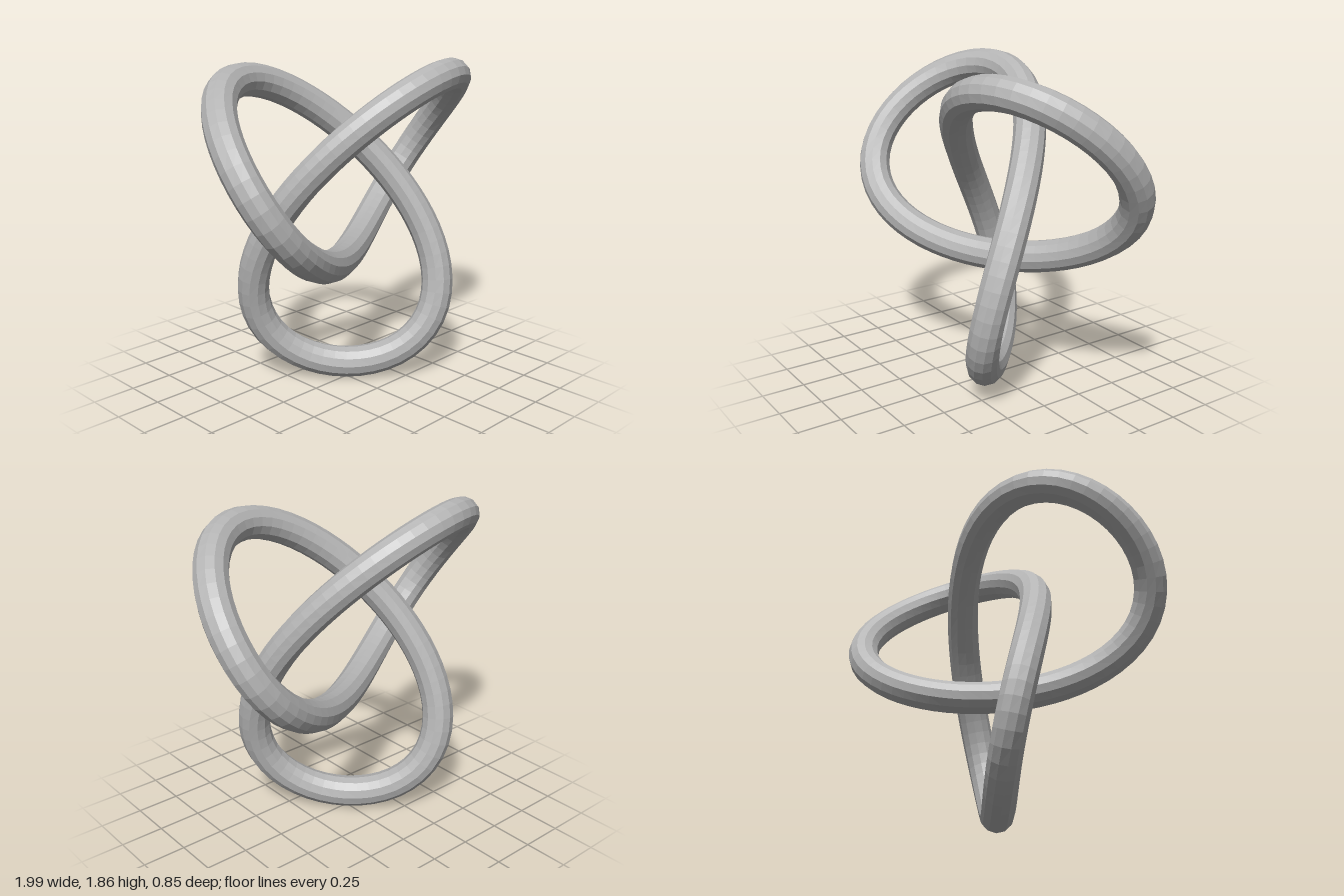
import * as THREE from 'three';

const SCALE = 0.332;   // size of the knot's centre line
const RADIUS = 0.0915; // thickness of the tube

// Trefoil centre line, standing upright with one lobe pointing down
class TrefoilCurve extends THREE.Curve {
  getPoint(u, target = new THREE.Vector3()) {
    const t = u * Math.PI * 2;
    return target.set(
      Math.sin(t) + 2 * Math.sin(2 * t),
      Math.cos(t) - 2 * Math.cos(2 * t),
      -Math.sin(3 * t)
    ).multiplyScalar(SCALE);
  }
}

export function createModel() {
  const group = new THREE.Group();
  group.name = 'trefoilKnot';

  const grey = new THREE.MeshStandardMaterial({ color: 0xb4b4b4, flatShading: true });
  grey.name = 'grey';

  // Closed faceted tube
  const tube = new THREE.Mesh(
    new THREE.TubeGeometry(new TrefoilCurve(), 128, RADIUS, 12, true),
    grey
  );
  tube.name = 'knotTube';
  tube.position.y = 3 * SCALE + RADIUS; // lowest lobe rests on the ground
  group.add(tube);
  return group;
}
